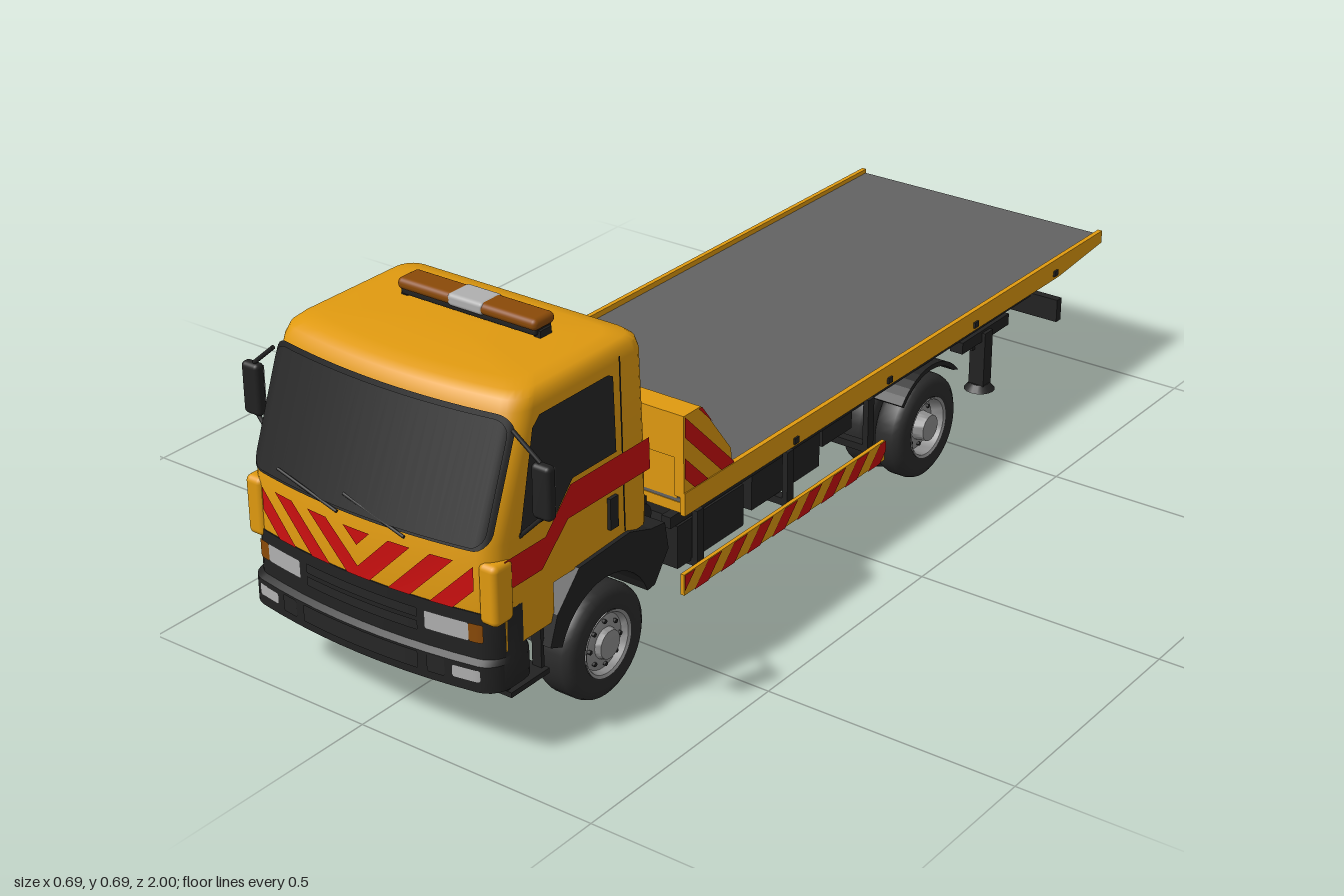
import * as THREE from 'three';
import { toCreasedNormals } from 'three/addons/utils/BufferGeometryUtils.js';
import { RoundedBoxGeometry } from 'three/addons/geometries/RoundedBoxGeometry.js';

const mat = (name, color) => new THREE.MeshStandardMaterial({ name, color, side: THREE.DoubleSide });
const yellow = mat('yellow paint', 0xe09a10), red = mat('red stripe', 0xcc1010), dark = mat('dark trim', 0x222222);
const tyre = mat('tyre rubber', 0x2b2b2b), glass = mat('dark glass', 0x262626), grey = mat('deck grey', 0x626262);
const steel = mat('wheel steel', 0x909090), clear = mat('clear lamp', 0xb0b0b0), amber = mat('amber lamp', 0x8a4a08);

export function createModel() {
  const root = new THREE.Group();
  root.name = 'recoveryTruck';
  const add = (name, m, geo, x = 0, y = 0, z = 0) => {
    const mesh = new THREE.Mesh(geo, m);
    mesh.name = name;
    mesh.position.set(x, y, z);
    root.add(mesh);
    return mesh;
  };
  const box = (name, m, w, h, d, x, y, z) => add(name, m, new THREE.BoxGeometry(w, h, d), x, y, z);
  const soft = (name, m, w, h, d, x, y, z, r) => add(name, m, new RoundedBoxGeometry(w, h, d, 3, r), x, y, z);
  const sides = fn => [1, -1].forEach(fn);
  const pair = (name, m, w, h, d, x, y, z) => sides(s => box(name, m, w, h, d, s * x, y, z));
  const rod = (name, m, a, b, r) => {
    const A = new THREE.Vector3(...a), B = new THREE.Vector3(...b), d = B.clone().sub(A);
    const mesh = add(name, m, new THREE.CylinderGeometry(r, r, d.length(), 12));
    mesh.position.copy(A).add(B).multiplyScalar(0.5);
    mesh.quaternion.setFromUnitVectors(new THREE.Vector3(0, 1, 0), d.normalize());
    return mesh;
  };
  const toShape = pts => new THREE.Shape(pts.map(p => new THREE.Vector2(...p)));
  // (z, y) outline extruded from x0 to x1
  const slab = (name, m, pts, x0, x1) => {
    const g = new THREE.ExtrudeGeometry(toShape(pts), { depth: x1 - x0, bevelEnabled: false });
    return add(name, m, g.rotateY(-Math.PI / 2).translate(x1, 0, 0));
  };
  // flat outline placed on a surface by a mapping rule
  const patch = (name, m, pts, map) => {
    const g = new THREE.ShapeGeometry(toShape(pts)), p = g.attributes.position;
    for (let i = 0; i < p.count; i++) p.setXYZ(i, ...map(p.getX(i), p.getY(i)));
    g.computeVertexNormals();
    return add(name, m, g);
  };
  const clip = (poly, f) => poly.flatMap((p, i) => {
    const q = poly[(i + 1) % poly.length], a = f(p), b = f(q), out = a <= 0 ? [p] : [];
    if (a * b < 0) out.push([0, 1].map(k => p[k] + (q[k] - p[k]) * a / (a - b)));
    return out;
  });
  // diagonal red bands cut to a convex outline
  const bands = (name, region, k, period, width, phase, map) => {
    for (let n = -20; n < 20; n++) {
      const lo = phase + n * period, u = p => p[0] - k * p[1];
      const pts = clip(clip(region, p => lo - u(p)), p => u(p) - lo - width);
      if (pts.length > 2) patch(name, red, pts, map);
    }
  };
  const rect = (a, b, c, d) => [[a, c], [b, c], [b, d], [a, d]];

  // Rounded, bowed-front body from horizontal rings [y, halfWidth, frontZ, backZ]
  const R = 0.035, BOW = 0.03;
  const loft = (name, m, levels) => {
    const pos = [], idx = [];
    let n = 0;
    for (const [y, w, zf, zb] of levels) {
      const start = pos.length / 3;
      const put = (x, z, front) => pos.push(x, y, z - (front ? BOW * (x / w) ** 2 : 0));
      [[1, 1], [-1, 1], [-1, -1], [1, -1]].forEach(([sx, sz], k) => {
        for (let i = 0; i < 6; i++) {
          const a = (k + i / 5) * Math.PI / 2;
          put(sx * (w - R) + R * Math.cos(a), (sz > 0 ? zf - R : zb + R) + R * Math.sin(a), k < 2);
        }
        if (k === 0) for (let i = 1; i < 10; i++) put((w - R) * (1 - i / 5), zf, true);
      });
      n = pos.length / 3 - start;
    }
    const L = levels.length;
    for (let l = 0; l < L - 1; l++) for (let i = 0; i < n; i++) {
      const a = l * n + i, b = l * n + (i + 1) % n;
      idx.push(a, a + n, b, b, a + n, b + n);
    }
    [0, L - 1].forEach(l => {
      const [y, , zf, zb] = levels[l], c = pos.length / 3;
      pos.push(0, y + (l ? 0.003 : 0), (zf + zb) / 2);
      for (let i = 0; i < n; i++) {
        const a = l * n + i, b = l * n + (i + 1) % n;
        idx.push(...(l ? [c, b, a] : [c, a, b]));
      }
    });
    const g = new THREE.BufferGeometry();
    g.setAttribute('position', new THREE.Float32BufferAttribute(pos, 3));
    g.setIndex(idx);
    return add(name, m, toCreasedNormals(g, 0.7));
  };
  const cabZ = y => 0.985 - Math.max(0, y - 0.41) * 0.38;
  const cabX = y => 0.275 - Math.max(0, y - 0.41) * 0.033;
  const drop = x => BOW * (x / 0.275) ** 2 + (Math.abs(x) > 0.24 ? R - Math.sqrt(R * R - (Math.abs(x) - 0.24) ** 2) : 0);
  // rounded panel following the bowed front
  const frontPanel = (name, m, x0, x1, y0, y1, r, zf) => {
    const g = new THREE.PlaneGeometry(1, 1, 36, 1), p = g.attributes.position;
    for (let i = 0; i < p.count; i++) {
      const x = (x0 + x1) / 2 - Math.cos((p.getX(i) + 0.5) * Math.PI) * (x1 - x0) / 2;
      const e = Math.max(0, r - Math.min(x - x0, x1 - x)), cut = r - Math.sqrt(Math.max(0, r * r - e * e));
      const y = p.getY(i) > 0 ? y1 - cut : y0 + cut;
      p.setXYZ(i, x, y, zf(y) - drop(x));
    }
    g.computeVertexNormals();
    return add(name, m, g);
  };

  // Cab
  loft('cab', yellow, [[0.285, 0.275, 0.985, 0.535], [0.41, 0.275, 0.985, 0.535], [0.62, 0.268, 0.905, 0.537],
    [0.638, 0.263, 0.895, 0.541], [0.648, 0.252, 0.88, 0.552], [0.653, 0.225, 0.85, 0.58]]);
  frontPanel('windscreenSeal', dark, -0.264, 0.264, 0.402, 0.619, 0.03, y => cabZ(y) + 0.004);
  frontPanel('windscreen', glass, -0.257, 0.257, 0.409, 0.612, 0.025, y => cabZ(y) + 0.007);
  sides(s => {
    bands('frontChevron', rect(0, 0.237, 0, 0.09), 1, 0.085, 0.045, -0.02,
      (u, v) => [s * u, 0.287 + v, 0.989 - drop(u)]);
    const onSide = off => (z, y) => [s * (cabX(y) + off), y, z];
    patch('sideStripe', red, [[0.935, 0.325], [0.84, 0.325], [0.77, 0.39], [0.545, 0.39], [0.545, 0.45], [0.76, 0.45],
      [0.83, 0.382], [0.935, 0.382]], onSide(0.003));
    patch('sideWindow', glass, [[0.895, 0.415], [0.8, 0.415], [0.755, 0.46], [0.637, 0.46], [0.637, 0.6], [0.65, 0.607],
      [0.83, 0.607], [0.85, 0.59]], onSide(0.004));
    patch('doorSeam', dark, rect(0.616, 0.62, 0.3, 0.63), onSide(0.004));
    box('doorHandle', dark, 0.008, 0.06, 0.022, s * 0.278, 0.35, 0.65);
    soft('cornerPanel', yellow, 0.04, 0.115, 0.05, s * 0.262, 0.325, 0.94, 0.012);
    box('doorSkirt', yellow, 0.07, 0.08, 0.125, s * 0.239, 0.25, 0.87);
    // wheel arch under the cab
    const arch = [[0.83, 0.17], [0.81, 0.225], [0.75, 0.288], [0.61, 0.295], [0.55, 0.275], [0.51, 0.27], [0.5, 0.215], [0.54, 0.16]];
    for (let i = 0; i <= 14; i++) {
      const a = Math.PI * (0.88 - 0.76 * i / 14);
      arch.push([0.68 + 0.128 * Math.cos(a), 0.11 + 0.128 * Math.sin(a)]);
    }
    slab('frontMudguard', dark, arch, s > 0 ? 0.17 : -0.283, s > 0 ? 0.283 : -0.17);
    [0.83, 0.92].forEach(z => box('stepHanger', dark, 0.02, 0.09, 0.008, s * 0.255, 0.165, z));
    box('cabStep', dark, 0.05, 0.01, 0.1, s * 0.25, 0.122, 0.875);
    // mirror
    soft('mirror', dark, 0.04, 0.1, 0.022, s * 0.323, 0.505, 0.885, 0.009);
    box('mirrorGlass', clear, 0.03, 0.085, 0.003, s * 0.323, 0.505, 0.874);
    [[0.6, 0.555, 0.62], [0.4, 0.455, 0.38]].forEach(([a, b]) => {
      rod('mirrorArm', dark, [s * 0.265, a, 0.89], [s * 0.318, b, 0.885], 0.004);
    });
  });
  box('rearWindow', glass, 0.25, 0.065, 0.006, 0, 0.555, 0.536);
  box('rearRidge', yellow, 0.46, 0.008, 0.008, 0, 0.455, 0.534);
  [-0.11, 0.04].forEach(x => rod('wiper', dark, [x - 0.07, 0.432, 0.982], [x + 0.07, 0.398, 0.99], 0.003));

  // Grille, bumper and lamps
  loft('bumper', dark, [[0.132, 0.268, 0.985, 0.86], [0.142, 0.28, 0.998, 0.86], [0.192, 0.28, 0.998, 0.86],
    [0.2, 0.275, 0.988, 0.86], [0.286, 0.275, 0.987, 0.86]]);
  [0.225, 0.25].forEach(y => frontPanel('grilleSlot', glass, -0.125, 0.125, y, y + 0.018, 0.002, () => 0.991));
  frontPanel('bumperInset', glass, -0.13, 0.13, 0.157, 0.19, 0.003, () => 1);
  sides(s => {
    const span = (name, m, a, b, y0, y1, z) => frontPanel(name, m, Math.min(s * a, s * b), Math.max(s * a, s * b), y0, y1, 0.004, () => z);
    span('headlamp', clear, 0.14, 0.226, 0.233, 0.268, 0.992);
    span('indicator', amber, 0.226, 0.252, 0.233, 0.268, 0.992);
    span('fogLamp', clear, 0.198, 0.25, 0.162, 0.184, 1);
    span('towCover', glass, 0.148, 0.183, 0.157, 0.19, 1);
  });

  // Roof beacon
  soft('beaconBase', dark, 0.3, 0.014, 0.045, 0, 0.665, 0.667, 0.005);
  soft('beaconAmber', amber, 0.31, 0.022, 0.056, 0, 0.679, 0.667, 0.01);
  soft('beaconCentre', clear, 0.08, 0.024, 0.058, 0, 0.679, 0.667, 0.008);
  pair('beaconFoot', dark, 0.014, 0.02, 0.03, 0.148, 0.657, 0.667);

  // Flat bed
  const bedSide = [[0.48, 0.275], [0.48, 0.32], [-1, 0.315], [-1, 0.288], [-0.82, 0.272]];
  slab('bedBody', yellow, [[0.478, 0.278], [0.478, 0.298], [-0.998, 0.298], [-0.998, 0.29], [-0.82, 0.278]], -0.296, 0.296);
  box('deck', grey, 0.59, 0.008, 1.475, 0, 0.302, -0.261);
  const brace = [[0.48, 0.31], [0.48, 0.47], [0.43, 0.47], [0.34, 0.352], [0.335, 0.31]];
  sides(s => {
    slab('bedRail', yellow, bedSide, s > 0 ? 0.294 : -0.304, s > 0 ? 0.304 : -0.294);
    slab('headboardBrace', yellow, brace, s > 0 ? 0.282 : -0.302, s > 0 ? 0.302 : -0.282);
    bands('braceStripe', brace.map(([z, y]) => [z, Math.max(y, 0.322)]), 1, 0.08, 0.04, 0.01, (z, y) => [s * 0.305, y, z]);
    [0.14, -0.175, -0.49, -0.805].forEach(z => box('railMarker', dark, 0.006, 0.012, 0.014, s * 0.305, 0.286, z));
  });
  slab('headboardBeam', yellow, [[0.48, 0.385], [0.48, 0.47], [0.43, 0.47], [0.375, 0.395], [0.375, 0.385]], -0.285, 0.285);
  box('headboardPanel', yellow, 0.57, 0.09, 0.008, 0, 0.35, 0.474);
  rod('winchDrum', dark, [-0.1, 0.34, 0.425], [0.1, 0.34, 0.425], 0.03);
  pair('winchCheek', dark, 0.014, 0.065, 0.08, 0.04, 0.338, 0.4);
  pair('winchMotor', dark, 0.05, 0.06, 0.065, 0.11, 0.338, 0.43);

  // Chassis and subframe
  pair('subframeRail', dark, 0.05, 0.035, 1.27, 0.16, 0.262, -0.14);
  pair('outerSubframe', dark, 0.02, 0.022, 1.24, 0.27, 0.258, -0.13);
  pair('chassisRail', dark, 0.04, 0.06, 1.74, 0.1, 0.215, 0.03);
  for (let i = 0; i < 10; i++) box('crossMember', dark, 0.54, 0.02, 0.035, 0, 0.252, 0.43 - i * 0.135);
  [0.4, 0.08, -0.18, -0.55].forEach(z => box('chassisBrace', dark, 0.2, 0.05, 0.04, 0, 0.21, z));
  box('engine', dark, 0.22, 0.17, 0.3, 0, 0.2, 0.74);
  box('gearbox', dark, 0.12, 0.1, 0.22, 0, 0.17, 0.48);
  rod('driveShaft', dark, [0, 0.16, 0.4], [0, 0.115, -0.33], 0.014);
  box('cabFloor', dark, 0.42, 0.03, 0.4, 0, 0.275, 0.72);
  rod('airCylinder', dark, [-0.23, 0.26, 0.505], [0.23, 0.26, 0.505], 0.026);
  pair('rearCabMount', dark, 0.06, 0.08, 0.05, 0.19, 0.25, 0.505);
  box('mountCentre', dark, 0.14, 0.07, 0.05, 0, 0.28, 0.505);
  pair('storageBox', dark, 0.12, 0.085, 0.2, 0.22, 0.2, 0.37);
  pair('fuelTank', dark, 0.12, 0.075, 0.22, 0.21, 0.205, 0.12);
  pair('batteryBox', dark, 0.1, 0.06, 0.1, 0.2, 0.215, -0.08);

  // Side guards
  sides(s => {
    box('sideGuard', yellow, 0.008, 0.042, 0.65, s * 0.298, 0.136, 0.155);
    bands('guardStripe', rect(-0.17, 0.48, 0, 0.042), -1, 0.08, 0.042, 0.01, (z, v) => [s * 0.304, 0.115 + v, z]);
    [0.42, 0.14, -0.13].forEach(z => {
      box('guardPost', dark, 0.012, 0.14, 0.02, s * 0.288, 0.19, z);
      box('guardArm', dark, 0.18, 0.015, 0.02, s * 0.2, 0.155, z);
    });
  });

  // Wheels and axles
  const wheel = (s, x, z, half, dish) => {
    const turn = (name, m, pts) => {
      add(name, m, toCreasedNormals(new THREE.LatheGeometry(pts.map(p => new THREE.Vector2(...p)), 36), 0.7), s * x, 0.108, z)
        .rotation.z = -s * Math.PI / 2;
    };
    turn('tyre', tyre, [[0.058, -half], [0.092, -half], [0.104, -half + 0.008], [0.108, -half + 0.02], [0.108, half - 0.02],
      [0.104, half - 0.008], [0.092, half], [0.064, half - 0.002], [0.06, half - 0.012]]);
    turn('wheelRim', steel, [[0.064, half], [0.058, half - 0.003], [0.053, half - 0.015 - dish], [0.034, half - 0.008 - dish],
      [0.03, half - 0.008 - dish], [0.027, half + 0.003], [0, half + 0.004]]);
    for (let i = 0; i < 8; i++) {
      const a = i * Math.PI / 4, px = s * (x + half - 0.01 - dish);
      rod('wheelNut', dark, [px - 0.004, 0.108 + 0.042 * Math.cos(a), z + 0.042 * Math.sin(a)],
        [px + 0.004, 0.108 + 0.042 * Math.cos(a), z + 0.042 * Math.sin(a)], 0.004);
    }
  };
  sides(s => {
    wheel(s, 0.247, 0.68, 0.042, 0);
    wheel(s, 0.256, -0.35, 0.034, 0.014);
    wheel(s, 0.18, -0.35, 0.034, 0.014);
    const guard = [];
    for (let i = 0; i <= 24; i++) {
      const k = i <= 12 ? i : 24 - i, a = Math.PI * (0.22 + 0.56 * k / 12), r = i <= 12 ? 0.135 : 0.125;
      guard.push([-0.35 + r * Math.cos(a), 0.11 + r * Math.sin(a)]);
    }
    slab('rearMudguard', dark, guard, s > 0 ? 0.145 : -0.29, s > 0 ? 0.29 : -0.145);
    [0.68, -0.35].forEach(z => box('leafSpring', dark, 0.03, 0.025, 0.3, s * 0.125, 0.15, z));
  });
  [0.68, -0.35].forEach(z => rod('axle', dark, [-0.24, 0.108, z], [0.24, 0.108, z], 0.025));
  add('differential', dark, new THREE.SphereGeometry(0.045, 18, 12), 0, 0.108, -0.35);

  // Stabiliser legs and tail lamp bar
  box('stabiliserBeam', dark, 0.5, 0.04, 0.05, 0, 0.2, -0.6);
  sides(s => {
    box('stabiliserBracket', dark, 0.03, 0.025, 0.18, s * 0.25, 0.213, -0.6);
    box('stabiliserLeg', dark, 0.035, 0.12, 0.03, s * 0.255, 0.16, -0.6);
    add('stabiliserFoot', dark, new THREE.CylinderGeometry(0.02, 0.032, 0.014, 16), s * 0.255, 0.095, -0.6);
    box('tailArm', dark, 0.025, 0.035, 0.2, s * 0.14, 0.222, -0.77);
    box('tailHanger', dark, 0.025, 0.06, 0.02, s * 0.14, 0.195, -0.855);
    [amber, clear, amber].forEach((m, i) => box('tailLamp', m, 0.03, 0.03, 0.006, s * (0.195 + i * 0.034), 0.175, -0.876));
  });
  box('tailBar', dark, 0.57, 0.05, 0.018, 0, 0.175, -0.865);
  return root;
}
